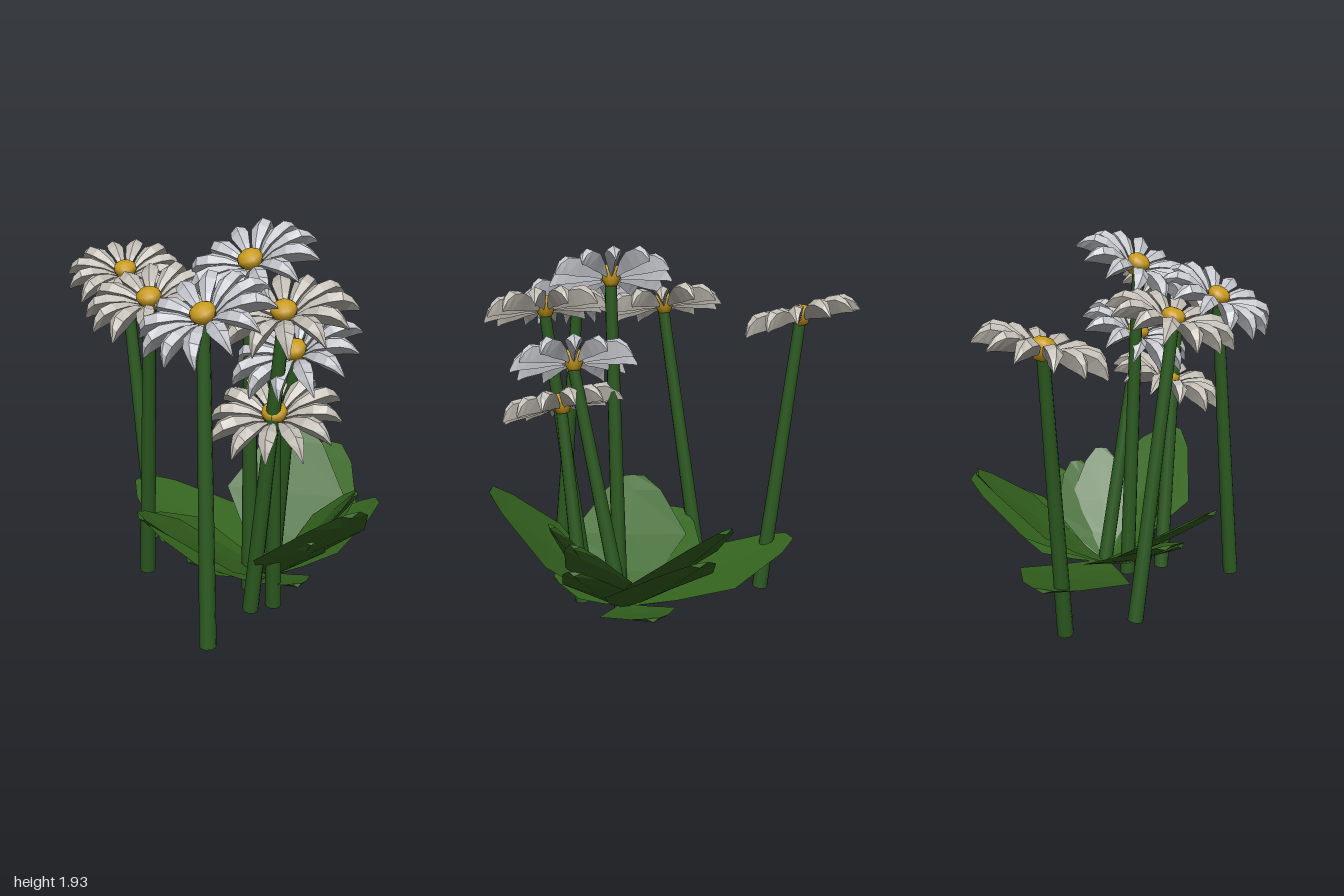
import * as THREE from 'three';

const mat = (color, flat = true) => new THREE.MeshStandardMaterial({ color, flatShading: flat });
const stemMat = mat(0x2c5a20, false);
const leafMat = mat(0x35651f);
const goldMat = mat(0xc89a1c, false);
const coolPetal = mat(0xc4c6cc);
const warmPetal = mat(0xc2bdb4);

// Solid blade along +z. Section: [distance, height, half width, ridge, keel, edge lift]
function blade(sections) {
  const pos = [], idx = [];
  for (const [d, y, w, up, down, lift] of sections) {
    pos.push(w, y + lift, d, 0, y + up, d, -w, y + lift, d, 0, y - down, d);
  }
  const n = sections.length;
  for (let i = 0; i < n - 1; i++) {
    for (let j = 0; j < 4; j++) {
      const a = i * 4 + j, b = i * 4 + (j + 1) % 4;
      idx.push(a, b, a + 4, b, b + 4, a + 4);
    }
  }
  const e = (n - 1) * 4;
  idx.push(0, 2, 1, 0, 3, 2, e, e + 1, e + 2, e, e + 2, e + 3);
  const g = new THREE.BufferGeometry();
  g.setAttribute('position', new THREE.Float32BufferAttribute(pos, 3));
  g.setIndex(idx);
  g.computeVertexNormals();
  return g;
}

// Arched petal with a deep keel and a drooping pointed tip
const petalGeo = blade([
  [0.055, -0.02, 0.008, 0.004, 0.015, 0],
  [0.12, 0.02, 0.028, 0.008, 0.055, -0.004],
  [0.2, 0.046, 0.045, 0.012, 0.09, -0.01],
  [0.265, 0.042, 0.038, 0.012, 0.088, -0.012],
  [0.305, 0.01, 0.02, 0.008, 0.06, -0.01],
  [0.332, -0.045, 0.004, 0.004, 0.012, 0],
]);

// Domed flower centre with a tapering cup beneath
const centreGeo = new THREE.LatheGeometry(
  [[0, -0.065], [0.03, -0.06], [0.05, -0.02], [0.062, 0.005], [0.056, 0.028], [0.035, 0.044], [0, 0.05]]
    .map(([x, y]) => new THREE.Vector2(x, y)), 16);

function flowerHead(petalMat, spin) {
  const head = new THREE.Group();
  head.name = 'flowerHead';
  const centre = new THREE.Mesh(centreGeo, goldMat);
  centre.name = 'flowerCentre';
  head.add(centre);
  const count = 12;
  for (let i = 0; i < count; i++) {
    const petal = new THREE.Mesh(petalGeo, petalMat);
    petal.name = 'petal';
    petal.rotation.y = spin + (i / count) * Math.PI * 2;
    petal.scale.setScalar(1 - 0.03 * (i % 3));
    head.add(petal);
  }
  return head;
}

// Stem tapering from the ground point to the head
function stem(from, to) {
  const dir = to.clone().sub(from);
  const g = new THREE.CylinderGeometry(0.031, 0.042, dir.length(), 10);
  const m = new THREE.Mesh(g, stemMat);
  m.name = 'stem';
  m.position.copy(from).addScaledVector(dir, 0.5);
  m.quaternion.setFromUnitVectors(new THREE.Vector3(0, 1, 0), dir.normalize());
  return m;
}

// Broad leaf from the root point to its tip
function leaf(root, tip, half) {
  const z = tip.clone().sub(root);
  const len = z.length();
  z.normalize();
  const x = new THREE.Vector3(0, 1, 0).cross(z).normalize();
  const y = z.clone().cross(x);
  const profile = [[0, 0, 0.1], [0.25, -0.02, 0.57], [0.53, -0.025, 1], [0.88, -0.01, 0.5], [1, 0, 0.17]];
  const g = blade(profile.map(([t, h, w]) =>
    [t * len, h * len, w * half, 0.006, 0.016, 0.07 * w * half]));
  g.applyMatrix4(new THREE.Matrix4().makeBasis(x, y, z).setPosition(root));
  const m = new THREE.Mesh(g, leafMat);
  m.name = 'leaf';
  return m;
}

export function createModel() {
  const model = new THREE.Group();
  model.name = 'daisyPlant';
  const V = (a) => new THREE.Vector3(...a);

  // Flowers: head, stem foot [x, z], forward tilt, sideways tilt, petal material
  const flowers = [
    [[-0.67, 1.53, 0.12], [-0.475, 0.12], 0.2, 0.2, warmPetal],
    [[0.0, 1.57, 0.47], [-0.19, 0.38], 0.3, 0.06, warmPetal],
    [[0.34, 1.76, 0.13], [0.32, 0.1], 0.48, 0, coolPetal],
    [[0.47, 1.6, 0.53], [0.595, 0.62], 0.48, 0, coolPetal],
    [[0.67, 1.6, 0.23], [0.48, 0.24], 0.3, 0.06, warmPetal],
    [[0.55, 1.35, 0.04], [0.33, -0.05], 0.46, 0, coolPetal],
    [[0.6, 1.09, 0.21], [0.52, 0.12], 0.3, 0.14, warmPetal],
  ];
  flowers.forEach(([p, foot, forward, side, m], i) => {
    const flower = new THREE.Group();
    flower.name = 'flower';
    const head = flowerHead(m, 0.13 + i * 0.17);
    head.position.copy(V(p));
    head.rotation.set(forward, 0, -side);
    const neck = V(p);
    neck.y -= 0.05;
    flower.add(head, stem(new THREE.Vector3(foot[0], 0, foot[1]), neck));
    model.add(flower);
  });

  // Leaf rosette: tip and half width
  const leaves = new THREE.Group();
  leaves.name = 'leafRosette';
  const root = new THREE.Vector3(0.33, 0.03, -0.05);
  const leafList = [
    [[-0.63, 0.3, 0.08], 0.31],
    [[-0.08, 0.61, -0.63], 0.33],
    [[0.08, 0.51, -0.77], 0.31],
    [[0.27, 0.19, -0.62], 0.2],
    [[0.63, 0.42, -0.53], 0.2],
    [[0.61, 0.5, -0.38], 0.2],
    [[0.71, 0.57, -0.26], 0.19],
    [[0.99, 0.67, 0.09], 0.33],
    [[0.78, 0.46, 0.13], 0.19],
    [[0.67, 0.17, 0.1], 0.14],
    [[0.14, 0.53, 0.66], 0.32],
    [[-0.06, 0.38, 0.48], 0.32],
    [[0.25, 0.26, 0.45], 0.17],
  ];
  for (const [tip, half] of leafList) leaves.add(leaf(root, V(tip), half));
  model.add(leaves);
  return model;
}
